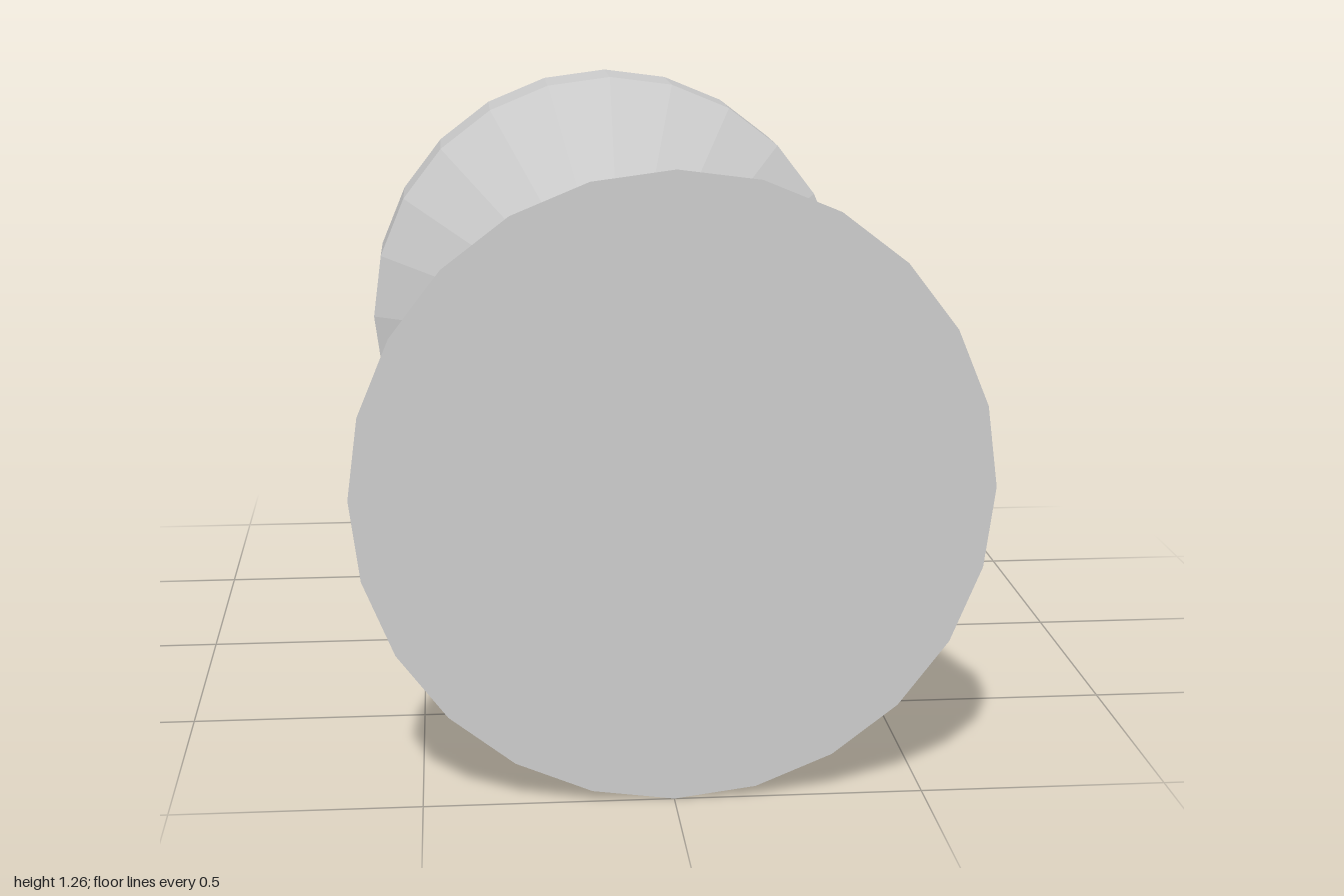
import * as THREE from 'three';

const SIDES = 24;
const RADIUS = 0.632;

export function createModel() {
  const group = new THREE.Group();
  group.name = 'spool';
  const material = new THREE.MeshStandardMaterial({ color: 0xcccccc, flatShading: true });

  // Turned part along z; profile is [radius, z] from back to front
  const turn = (name, profile) => {
    const points = profile.map(([r, z]) => new THREE.Vector2(r, z));
    const geometry = new THREE.LatheGeometry(points, SIDES).rotateX(Math.PI / 2);
    const mesh = new THREE.Mesh(geometry, material);
    mesh.name = name;
    mesh.position.y = RADIUS;
    group.add(mesh);
  };

  // Back flange: straight rim, then a cone down to the neck
  turn('backFlange', [[0, -1], [RADIUS, -1], [RADIUS, -0.79], [0.26, -0.525]]);
  // Tapered neck
  turn('neck', [[0.26, -0.525], [0.155, 0.58]]);
  // Front flange: cone up from the neck, then a flared rim
  turn('frontFlange', [[0.155, 0.58], [0.58, 0.79], [RADIUS, 1], [0, 1]]);

  return group;
}
